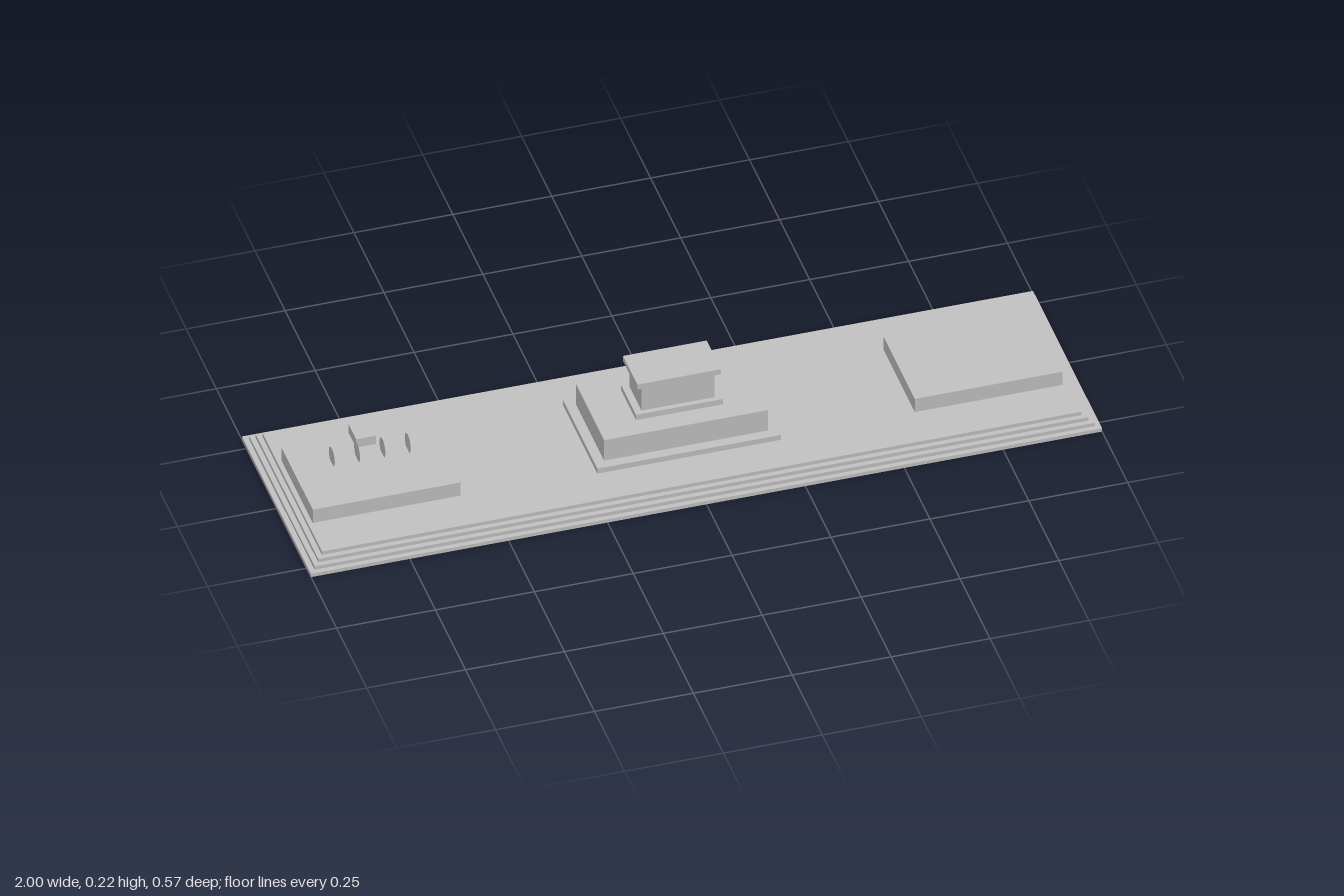
import * as THREE from 'three';

export function createModel() {
  const model = new THREE.Group();
  model.name = 'monument';

  const stone = new THREE.MeshStandardMaterial({ color: 0xc0c0c0 });
  stone.name = 'grey stone';
  const sheet = new THREE.MeshStandardMaterial({ color: 0xc0c0c0, side: THREE.DoubleSide });
  sheet.name = 'grey stone, two sided';

  // Box given by its half sizes, bottom and top heights, and centre
  function block(name, halfX, halfZ, y0, y1, x = 0, z = 0) {
    const mesh = new THREE.Mesh(new THREE.BoxGeometry(halfX * 2, y1 - y0, halfZ * 2), stone);
    mesh.position.set(x, (y0 + y1) / 2, z);
    mesh.name = name;
    model.add(mesh);
  }

  // Four nested steps, all standing on the ground
  for (let i = 0; i < 4; i++) {
    block('baseStep' + (i + 1), 1 - i * 0.0133, 0.287 - i * 0.0133, 0, 0.01 * (i + 1));
  }

  // Low platforms at both ends
  for (const side of [-1, 1]) {
    block(side > 0 ? 'leftPlatform' : 'rightPlatform', 0.187, 0.131, 0.04, 0.08, side * 0.761);
  }

  // Central pedestal
  block('pedestalFoot', 0.232, 0.143, 0.04, 0.055);
  block('pedestalBody', 0.207, 0.117, 0.04, 0.117);
  block('columnPlinth', 0.11, 0.063, 0.117, 0.133);
  block('column', 0.092, 0.05, 0.133, 0.207);
  block('columnCap', 0.106, 0.06, 0.207, 0.222);

  // Small raised box above the right platform
  block('smallBox', 0.025, 0.0315, 0.1, 0.125, -0.758, -0.0825);

  // Row of thin upright discs
  const discGeometry = new THREE.CircleGeometry(0.025, 16);
  for (let i = 0; i < 4; i++) {
    const disc = new THREE.Mesh(discGeometry, sheet);
    disc.rotation.y = Math.PI / 2;
    disc.position.set(-0.754 + (i - 1.5) * 0.064, 0.1, -0.033);
    disc.name = 'disc' + (i + 1);
    model.add(disc);
  }

  return model;
}
